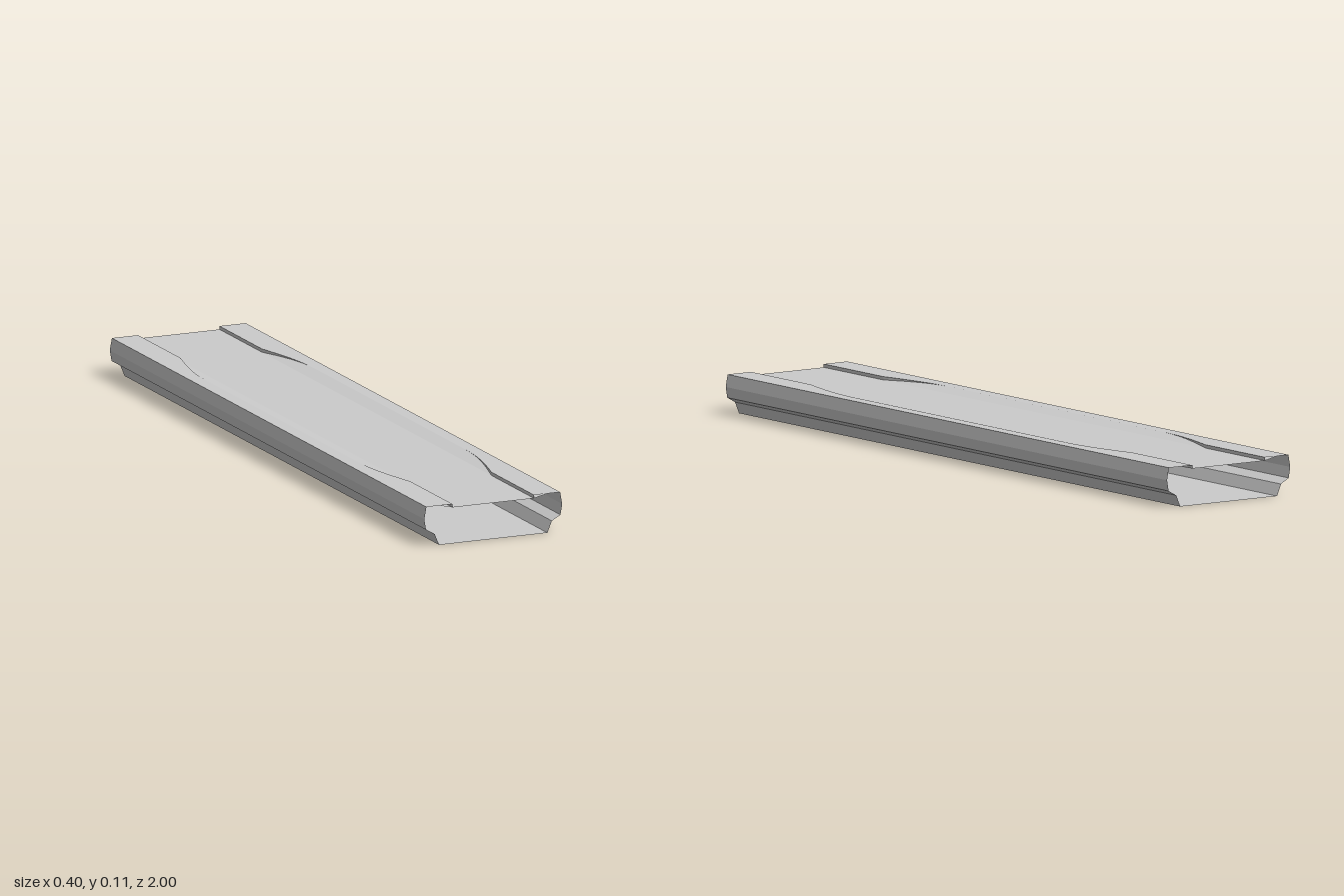
import * as THREE from 'three';

const material = new THREE.MeshStandardMaterial({ color: 0xcccccc, flatShading: true, side: THREE.DoubleSide });

const TOP = 0.107, PANEL = 0.098;      // rim height, recessed panel height
const INNER = 0.118, OUTER = 0.157;    // foot and head of the sloped panel edge

// Skin a list of open sections (arrays of [x, y, z]) with quads.
function loft(name, sections) {
  const n = sections[0].length, index = [];
  for (let s = 0; s < sections.length - 1; s++) {
    for (let i = 0; i < n - 1; i++) {
      const a = s * n + i, b = a + 1, c = a + n, d = c + 1;
      index.push(a, b, c, b, d, c);
    }
  }
  const geometry = new THREE.BufferGeometry();
  geometry.setAttribute('position', new THREE.Float32BufferAttribute(sections.flat(2), 3));
  geometry.setIndex(index);
  const flat = geometry.toNonIndexed();
  flat.computeVertexNormals();
  const mesh = new THREE.Mesh(flat, material);
  mesh.name = name;
  return mesh;
}

// Straight run of a profile along the whole length, +z to -z.
const run = (name, profile) =>
  loft(name, [1, -1].map(z => profile.map(([x, y]) => [x, y, z])));

// Lip that overhangs the sloped edge at one corner and tapers away.
function cornerLip(sx, sz) {
  const steps = 6, sections = [];
  const section = (x, z) => {
    const t = (x - INNER) / (OUTER - INNER);
    const foot = PANEL + (TOP - PANEL) * t;
    return [[OUTER, TOP], [x, TOP], [x, foot]].map(([px, py]) => [sx * px, py, sz * z]);
  };
  sections.push(section(INNER, 1));
  for (let i = 0; i <= steps; i++) {
    const t = i / steps;
    const x = INNER + (OUTER - INNER) * Math.sin(t * Math.PI / 2);
    sections.push(section(x, 0.73 - 0.25 * t));
  }
  // keep faces pointing up and toward the panel at every corner
  if (sx * sz < 0) sections.reverse();
  return loft('cornerLip', sections);
}

export function createModel() {
  const group = new THREE.Group();
  group.name = 'hollowPlank';

  // side wall profile, from the base up to the rim
  const side = [[0.157, 0], [0.17, 0.031], [0.195, 0.045], [0.2, 0.074], [0.194, TOP], [OUTER, TOP]];
  const mirrored = side.map(([x, y]) => [-x, y]).reverse();

  group.add(run('base', [[-0.157, 0], [0.157, 0]]));
  group.add(run('leftSide', side));
  group.add(run('rightSide', mirrored));

  // recessed top panel with its two sloped edges
  group.add(run('topPanel', [[OUTER, TOP], [INNER, PANEL], [-INNER, PANEL], [-OUTER, TOP]]));

  for (const sx of [1, -1]) for (const sz of [1, -1]) group.add(cornerLip(sx, sz));
  return group;
}
